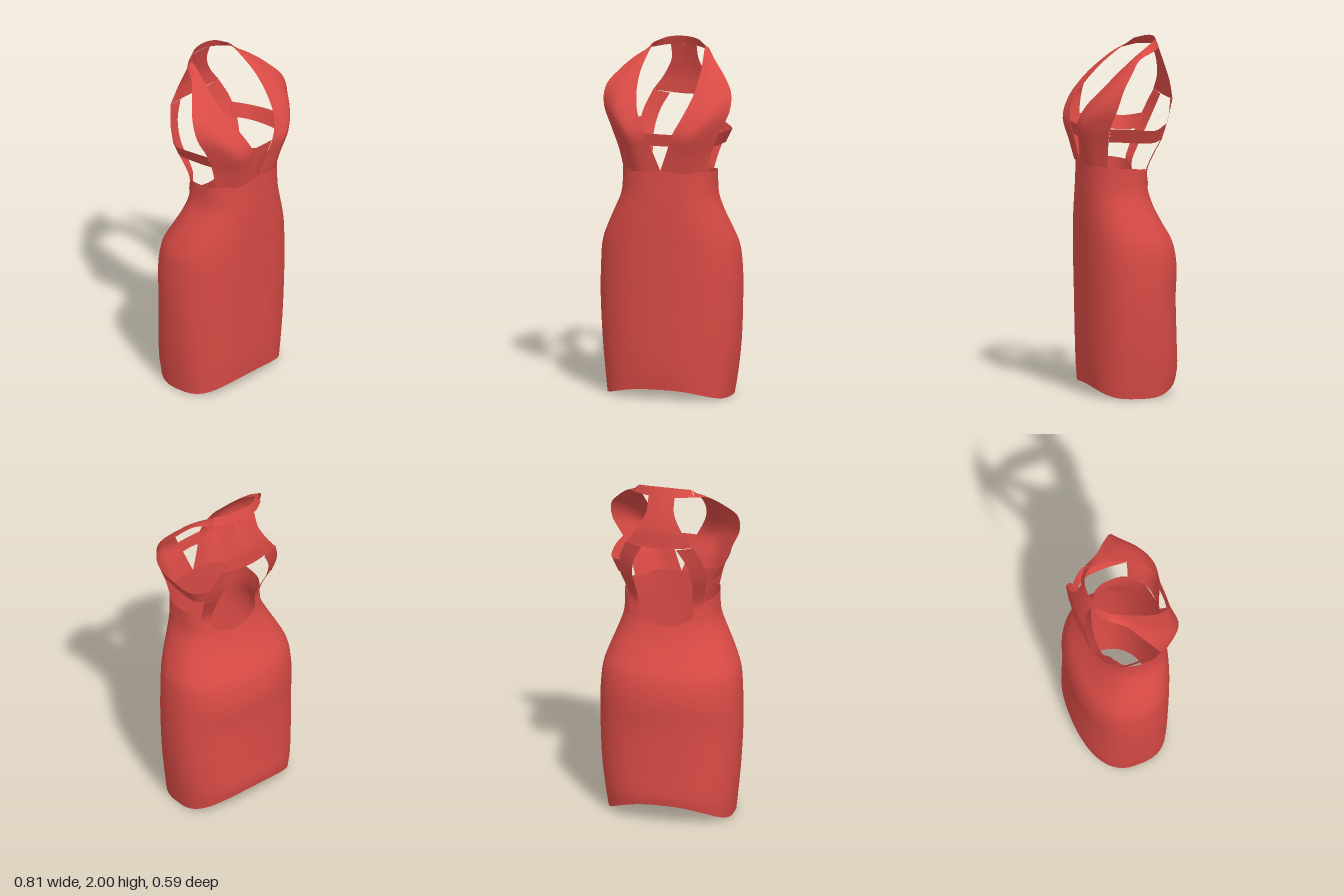
import * as THREE from 'three';

const fabric = new THREE.MeshStandardMaterial({ color: 0xd84a45, side: THREE.DoubleSide });
fabric.name = 'red fabric';

const V = (p) => new THREE.Vector3(...p);

// resample a list of points along a smooth curve
function resample(points, n) {
  const curve = new THREE.CatmullRomCurve3(points);
  return Array.from({ length: n + 1 }, (_, i) => curve.getPoint(i / n));
}

// skin a grid given as columns of points, each running upwards
function skin(name, columns, closed = false) {
  const size = columns[0].length;
  const index = [];
  for (let j = 0; j < columns.length - (closed ? 0 : 1); j++) {
    const next = (j + 1) % columns.length;
    for (let i = 0; i < size - 1; i++) {
      const a = j * size + i, b = next * size + i;
      index.push(a, b, b + 1, a, b + 1, a + 1);
    }
  }
  const geometry = new THREE.BufferGeometry().setFromPoints(columns.flat());
  geometry.setIndex(index);
  geometry.computeVertexNormals();
  const mesh = new THREE.Mesh(geometry, fabric);
  mesh.name = name;
  return mesh;
}

// smooth cloth patch through a few cross-sections; side -1 mirrors it
function patch(name, rows, side = 1, nCols = 10, nRows = 24) {
  const fine = rows.map((row) => {
    const pts = row.map(([x, y, z]) => V([x * side, y, z]));
    if (side < 0) pts.reverse();
    return resample(pts, nCols);
  });
  return skin(name, fine[0].map((_, j) => resample(fine.map((r) => r[j]), nRows)));
}

// end a rising column of points at a given height
function cutAt(column, height) {
  const k = column.findIndex((p) => p.y > height);
  const low = column[k - 1];
  const end = low.clone().lerp(column[k], (height - low.y) / (column[k].y - low.y));
  return column.map((p, i) => (i < k ? p : end));
}

// fitted skirt: rings of [y, half width, front z, back z, centre x, front power, back power]
function makeSkirt() {
  const rings = [
    [0.0, 0.355, 0.22, -0.285, -0.005, 0.7, 0.84],
    [0.12, 0.372, 0.23, -0.293, -0.003, 0.76, 0.84],
    [0.3, 0.392, 0.238, -0.288, 0, 0.82, 0.86],
    [0.55, 0.404, 0.243, -0.282, 0, 0.84, 0.88],
    [0.73, 0.401, 0.248, -0.288, 0, 0.84, 0.88],
    [0.86, 0.388, 0.25, -0.262, 0, 0.84, 0.86],
    [0.96, 0.352, 0.253, -0.205, 0.003, 0.84, 0.82],
    [1.06, 0.308, 0.254, -0.152, 0.008, 0.84, 0.78],
    [1.15, 0.274, 0.254, -0.12, 0.014, 0.84, 0.72],
    [1.22, 0.266, 0.252, -0.108, 0.016, 0.84, 0.66],
    [1.3, 0.266, 0.25, -0.104, 0.016, 0.84, 0.66],
  ];
  const bend = (v, power) => Math.sign(v) * Math.abs(v) ** power;
  const columns = [];
  for (let j = 0; j < 72; j++) {
    const t = (j / 72) * Math.PI * 2;
    const s = Math.sin(t), c = Math.cos(t);
    // wavy hem, lifted at the back, and a waist edge a little higher in front
    const hem = c > 0 ? 0.055 * c ** 3 : 0.11 * c * c;
    const lift = { 0: hem, 1: hem * 0.35, [rings.length - 1]: 0.02 * c - 0.005 };
    const column = resample(rings.map(([y, w, f, b, cx, front, back], i) => {
      const power = c < 0 ? back : front;
      return V([
        cx + w * bend(s, power),
        y + (lift[i] ?? 0),
        (f + b) / 2 + ((f - b) / 2) * bend(c, power),
      ]);
    }), 40);
    // rounded low opening at the back, between the straps
    const reach = Math.abs(column[40].x - 0.016) / 0.17;
    columns.push(c < 0 && reach < 1 ? cutAt(column, 1.13 + 0.06 * reach * reach) : column);
  }
  return skin('skirt', columns, true);
}

export function createModel() {
  const model = new THREE.Group();
  model.name = 'halterDress';
  model.add(makeSkirt());

  const bodice = new THREE.Group();
  bodice.name = 'bodice';
  bodice.position.x = 0.015;
  model.add(bodice);

  for (const side of [1, -1]) {
    const label = side > 0 ? 'left' : 'right';

    // cup running up into the halter strap, neckline edge to armhole edge
    bodice.add(patch(label + 'CupAndHalter', [
      [[0, 1.315, 0.25], [0.14, 1.3, 0.24], [0.242, 1.29, 0.155]],
      [[0.04, 1.42, 0.265], [0.165, 1.41, 0.265], [0.27, 1.41, 0.16]],
      [[0.08, 1.53, 0.285], [0.2, 1.53, 0.29], [0.315, 1.53, 0.16]],
      [[0.13, 1.63, 0.255], [0.265, 1.64, 0.235], [0.368, 1.65, 0.13]],
      [[0.165, 1.73, 0.17], [0.27, 1.74, 0.155], [0.367, 1.75, 0.095]],
      [[0.175, 1.83, 0.07], [0.24, 1.835, 0.06], [0.305, 1.835, 0.03]],
      [[0.165, 1.905, -0.02], [0.2, 1.905, -0.02], [0.235, 1.9, -0.035]],
      [[0.15, 1.97, -0.11], [0.167, 1.955, -0.12], [0.175, 1.935, -0.13]],
    ], side, 10, 36));

    // strap from the back panel down onto the waist
    bodice.add(patch(label + 'BackStrap', [
      [[0.1, 1.655, -0.25], [0.195, 1.67, -0.236]],
      [[0.15, 1.56, -0.225], [0.24, 1.56, -0.195]],
      [[0.172, 1.45, -0.182], [0.25, 1.45, -0.15]],
      [[0.165, 1.36, -0.138], [0.23, 1.36, -0.108]],
      [[0.158, 1.27, -0.1], [0.212, 1.27, -0.076]],
      [[0.155, 1.18, -0.106], [0.205, 1.18, -0.086]],
    ], side, 4));

    // band under the arm
    bodice.add(patch(label + 'SideBand', [
      [[0.28, 1.45, 0.16], [0.29, 1.445, 0.05], [0.28, 1.435, -0.09], [0.225, 1.445, -0.165]],
      [[0.315, 1.53, 0.16], [0.328, 1.525, 0.05], [0.312, 1.51, -0.1], [0.225, 1.535, -0.19]],
    ], side, 16, 2));
  }

  // band across the neckline
  bodice.add(patch('frontBand', [
    [[-0.055, 1.46, 0.272], [0, 1.46, 0.276], [0.055, 1.46, 0.272]],
    [[-0.08, 1.53, 0.284], [0, 1.53, 0.286], [0.08, 1.53, 0.284]],
  ], 1, 8, 2));

  // panel between the shoulder blades: [y, half width, middle z, edge z, edge lift]
  bodice.add(patch('backPanel', [
    [1.95, 0.075, -0.198, -0.188, 0],
    [1.86, 0.08, -0.226, -0.218, 0],
    [1.76, 0.13, -0.249, -0.238, 0],
    [1.655, 0.195, -0.254, -0.236, 0.015],
  ].map(([y, w, mid, edge, up]) => [[-w, y + up, edge], [0, y, mid], [w, y + up, edge]])));

  // collar behind the neck
  bodice.add(patch('neckBand', [
    [[0.175, 1.935, -0.13], [0.09, 1.945, -0.185], [0, 1.95, -0.2], [-0.09, 1.945, -0.185], [-0.175, 1.935, -0.13]],
    [[0.15, 1.97, -0.11], [0.085, 1.993, -0.165], [0, 2, -0.18], [-0.085, 1.993, -0.165], [-0.15, 1.97, -0.11]],
  ], 1, 20, 3));

  return model;
}
